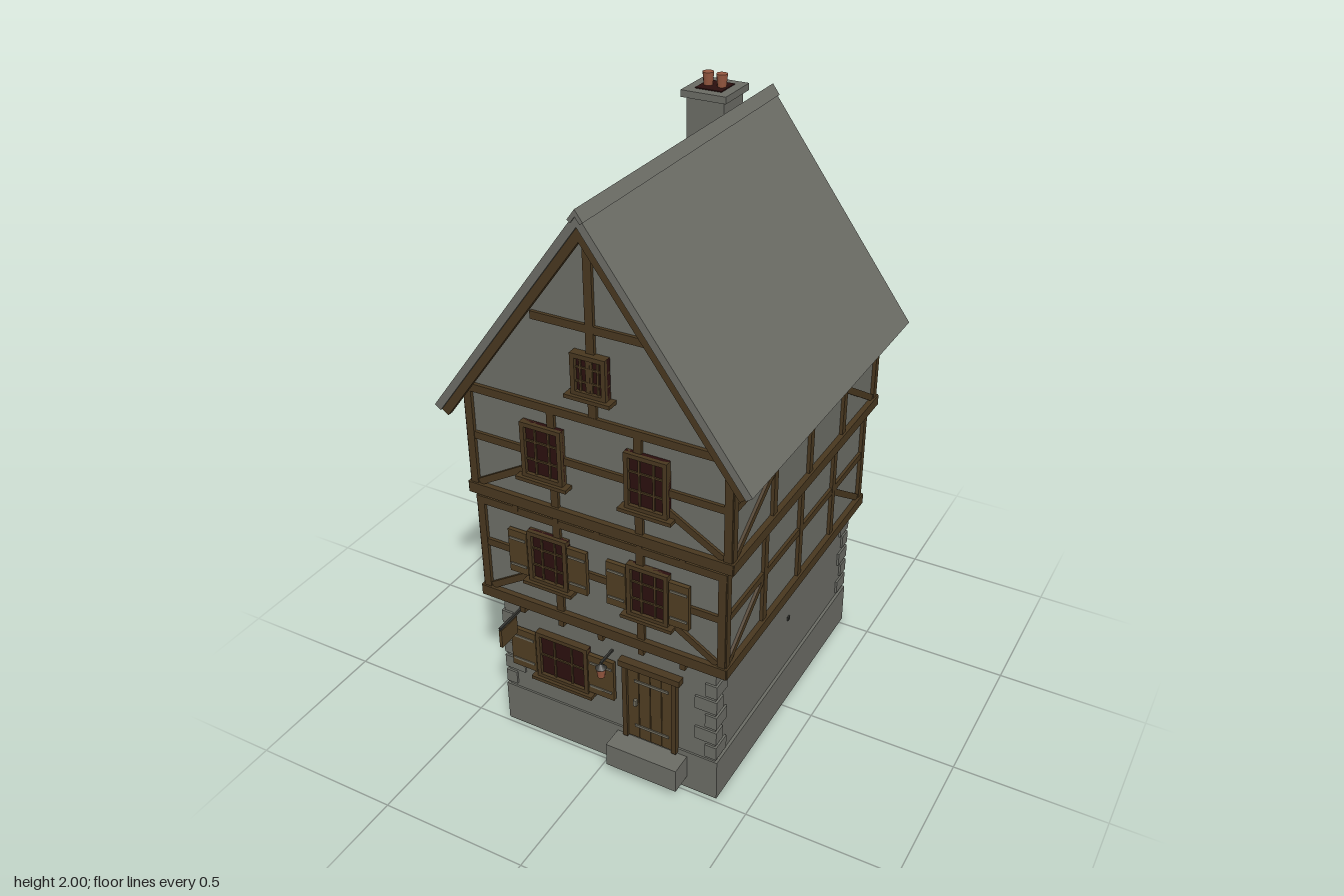
import * as THREE from 'three';

const mat = (name, color) => Object.assign(new THREE.MeshStandardMaterial({ color }), { name });
const M = {
  plaster: mat('plaster', 0x6c6d65),
  stone: mat('stone', 0x6a6b64),
  roof: mat('roof tile', 0x6b6c65),
  timber: mat('timber', 0x48371f),
  board: mat('shutter board', 0x4f3d22),
  glass: mat('dark glass', 0x2a0f0e),
  iron: mat('iron', 0x33332f),
  strap: mat('strap metal', 0x6e6a5c),
  clay: mat('clay', 0x95573f),
};

function add(parent, name, geo, m, x = 0, y = 0, z = 0) {
  const mesh = new THREE.Mesh(geo, m);
  mesh.name = name;
  mesh.position.set(x, y, z);
  parent.add(mesh);
  return mesh;
}
const box = (parent, name, m, w, h, d, x, y, z) =>
  add(parent, name, new THREE.BoxGeometry(w, h, d), m, x, y, z);

function group(parent, name, x = 0, y = 0, z = 0, ry = 0) {
  const g = new THREE.Group();
  g.name = name;
  g.position.set(x, y, z);
  g.rotation.y = ry;
  parent.add(g);
  return g;
}

// Straight timber between two points on a wall face
function beam(parent, name, x1, y1, x2, y2, width, z, depth = 0.022) {
  const b = box(parent, name, M.timber, Math.hypot(x2 - x1, y2 - y1), width, depth, (x1 + x2) / 2, (y1 + y2) / 2, z);
  b.rotation.z = Math.atan2(y2 - y1, x2 - x1);
}

// Framed window with glazing bars and a sill, facing local +z
function windowUnit(parent, name, x, y, z, w, h, cols, rows, shutter = 0) {
  const g = group(parent, name, x, y, z), f = 0.014;
  box(g, 'glass', M.glass, w, h, 0.016, 0, 0, 0.004);
  for (const s of [-1, 1]) {
    box(g, 'frameSide', M.timber, f, h, 0.04, s * (w - f) / 2, 0, 0.004);
    box(g, 'frameRail', M.timber, w, f, 0.04, 0, s * (h - f) / 2, 0.004);
  }
  for (let i = 1; i < cols; i++) box(g, 'glazingBar', M.timber, 0.006, h, 0.02, -w / 2 + (w * i) / cols, 0, 0.007);
  for (let i = 1; i < rows; i++) box(g, 'glazingBar', M.timber, w, 0.006, 0.02, 0, -h / 2 + (h * i) / rows, 0.007);
  box(g, 'sill', M.timber, w + 0.035, 0.012, 0.05, 0, -h / 2 - 0.004, 0.01);
  if (shutter) for (const s of [-1, 1]) {
    const sx = s * (w / 2 + shutter / 2 + 0.003);
    box(g, 'shutter', M.board, shutter, h * 0.84, 0.014, sx, 0, 0.016);
    for (const t of [-1, 1]) box(g, 'shutterStrap', M.strap, shutter * 0.85, 0.008, 0.004, sx, t * h * 0.26, 0.024);
  }
}

// One timber-framed wall face: posts, rail, head and sill beams, corner braces
function timberFace(parent, name, angle, half, dist, y0, y1, yRail, posts) {
  const g = group(parent, name, 0, 0, 0, angle), z = dist;
  box(g, 'sillBeam', M.timber, 2 * half + 0.03, 0.036, 0.036, 0, y0 + 0.018, z);
  box(g, 'headBeam', M.timber, 2 * half + 0.02, 0.026, 0.024, 0, y1 - 0.013, z);
  box(g, 'rail', M.timber, 2 * half, 0.024, 0.02, 0, yRail, z);
  for (const x of posts) box(g, 'post', M.timber, 0.025, y1 - y0, 0.022, x, (y0 + y1) / 2, z);
  const inner = posts[posts.length - 1];
  for (const s of [-1, 1]) {
    box(g, 'cornerPost', M.timber, 0.025, y1 - y0, 0.024, s * (half - 0.004), (y0 + y1) / 2, z);
    beam(g, 'brace', s * (half - 0.02), y0 + 0.04, s * (inner + 0.01), yRail - 0.015, 0.022, z, 0.018);
  }
  return g;
}

function storey(parent, name, hx, hz, zc, y0, y1, yRail) {
  const g = group(parent, name, 0, 0, zc);
  box(g, 'plasterWalls', M.plaster, 2 * hx, y1 - y0, 2 * hz, 0, (y0 + y1) / 2, 0);
  const ends = [-0.142, 0.142], sides = [-0.256, 0, 0.256];
  const front = timberFace(g, 'frontFrame', 0, hx, hz, y0, y1, yRail, ends);
  const back = timberFace(g, 'backFrame', Math.PI, hx, hz, y0, y1, yRail, ends);
  for (const s of [-1, 1]) timberFace(g, 'sideFrame', s * Math.PI / 2, hz, hx, y0, y1, yRail, sides);
  // Joist ends under the overhang
  for (let i = -2; i <= 2; i++) for (const f of [front, back])
    box(f, 'joistEnd', M.timber, 0.018, 0.024, 0.05, i * 0.142, y0 - 0.012, hz - 0.012);
  return { front, back };
}

// Inverted V profile that follows the roof slope
const SLOPE = 1.36, NX = 0.805, NY = 0.593;
function chevron(yTop, xEnd, t, depth) {
  const ye = yTop - SLOPE * xEnd, xi = xEnd - NX * t, yi = ye - NY * t;
  const s = new THREE.Shape([[0, yTop], [-xEnd, ye], [-xi, yi], [0, yTop - t / NY], [xi, yi], [xEnd, ye]]
    .map(([x, y]) => new THREE.Vector2(x, y)));
  return new THREE.ExtrudeGeometry(s, { depth, bevelEnabled: false });
}

function rectShape(S, hx, hz) {
  return new S([[-hx, -hz], [hx, -hz], [hx, hz], [-hx, hz]].map(([x, y]) => new THREE.Vector2(x, y)));
}

export function createModel() {
  const house = new THREE.Group();
  house.name = 'timberFramedHouse';

  // Stone ground floor on a plinth that is open underneath
  const ground = group(house, 'groundFloor', 0, 0, -0.02);
  const ring = rectShape(THREE.Shape, 0.39, 0.506);
  ring.holes.push(rectShape(THREE.Path, 0.34, 0.456));
  const plinth = new THREE.ExtrudeGeometry(ring, { depth: 0.15, bevelEnabled: false });
  plinth.rotateX(-Math.PI / 2);
  add(ground, 'plinth', plinth, M.stone);
  box(ground, 'stoneWalls', M.stone, 0.76, 0.44, 1.0, 0, 0.32, 0);
  for (const sx of [-1, 1]) for (const sz of [-1, 1]) for (let i = 0; i < 5; i++) {
    const long = i % 2 ? 0.075 : 0.04, deep = i % 2 ? 0.045 : 0.07;
    box(ground, 'quoin', M.stone, long, 0.048, deep, sx * (0.387 - long / 2), 0.187 + i * 0.0615, sz * (0.507 - deep / 2));
  }
  windowUnit(ground, 'groundFrontWindow', -0.155, 0.342, 0.5, 0.19, 0.18, 3, 2, 0.092);
  windowUnit(group(ground, 'backWall', 0, 0, 0, Math.PI), 'groundBackWindow', -0.172, 0.36, 0.5, 0.09, 0.135, 2, 2);
  windowUnit(group(ground, 'rightWall', 0, 0, 0, -Math.PI / 2), 'groundSideWindow', -0.24, 0.36, 0.38, 0.09, 0.135, 2, 2);
  box(ground, 'wallTie', M.iron, 0.008, 0.014, 0.014, 0.381, 0.345, -0.02);

  // Door with planks, straps and step
  const door = group(house, 'door', 0.158, 0, 0.48);
  for (let i = 0; i < 4; i++) box(door, 'plank', M.board, 0.0375, 0.28, 0.02, -0.06 + i * 0.04, 0.277, 0);
  box(door, 'plankGaps', M.timber, 0.16, 0.28, 0.012, 0, 0.277, 0);
  for (const s of [-1, 1]) box(door, 'jamb', M.timber, 0.016, 0.29, 0.04, s * 0.087, 0.28, 0);
  box(door, 'lintel', M.timber, 0.215, 0.022, 0.05, 0.003, 0.433, 0.002);
  for (const y of [0.187, 0.37]) box(door, 'strap', M.strap, 0.12, 0.009, 0.004, 0.005, y, 0.012);
  box(door, 'handle', M.strap, 0.01, 0.022, 0.014, -0.05, 0.285, 0.014);
  box(door, 'step', M.stone, 0.25, 0.085, 0.09, 0.002, 0.0875, 0.035);

  // Hanging sign and lantern
  const sign = group(house, 'hangingSign', -0.31, 0, 0);
  box(sign, 'bracket', M.iron, 0.008, 0.008, 0.13, 0, 0.492, 0.54);
  box(sign, 'signBoard', M.board, 0.01, 0.065, 0.085, 0, 0.453, 0.562);
  const lamp = group(house, 'lantern', 0.02, 0, 0.548);
  box(lamp, 'bracket', M.iron, 0.007, 0.007, 0.075, 0, 0.45, -0.035);
  add(lamp, 'lanternBody', new THREE.CylinderGeometry(0.016, 0.012, 0.034, 8), M.clay, 0, 0.414, 0);
  add(lamp, 'lanternCap', new THREE.ConeGeometry(0.019, 0.018, 8), M.iron, 0, 0.44, 0);

  // Two overhanging timber-framed storeys
  const first = storey(house, 'firstFloor', 0.415, 0.507, -0.005, 0.53, 0.905, 0.738);
  const second = storey(house, 'secondFloor', 0.43, 0.522, -0.02, 0.915, 1.295, 1.12);
  for (const s of [-1, 1]) {
    windowUnit(first.front, 'firstFloorWindow', s * 0.172, 0.748, 0.507, 0.138, 0.185, 3, 3, 0.066);
    windowUnit(second.front, 'secondFloorWindow', s * 0.172, 1.13, 0.522, 0.138, 0.185, 3, 3);
  }
  windowUnit(first.back, 'firstFloorBackWindow', 0, 0.748, 0.507, 0.138, 0.185, 3, 3);
  windowUnit(second.back, 'secondFloorBackWindow', 0, 1.13, 0.522, 0.138, 0.185, 3, 3);

  // Gable walls
  const tri = new THREE.Shape([[-0.43, 1.285], [0.43, 1.285], [0, 1.87]].map(([x, y]) => new THREE.Vector2(x, y)));
  add(house, 'gableWalls', new THREE.ExtrudeGeometry(tri, { depth: 1.044, bevelEnabled: false }), M.plaster, 0, 0, -0.542);
  const gable = group(house, 'frontGable', 0, 0, 0.502);
  box(gable, 'gablePost', M.timber, 0.026, 0.55, 0.022, 0, 1.56, 0);
  box(gable, 'collarBeam', M.timber, 0.38, 0.024, 0.02, 0, 1.568, 0);
  windowUnit(gable, 'gableWindow', 0, 1.43, 0.004, 0.112, 0.13, 4, 3);
  box(gable, 'gableMullion', M.timber, 0.022, 0.13, 0.028, 0, 1.43, 0.006);

  // Roof, ridge, bargeboards and rafter tails
  const roof = group(house, 'roof');
  add(roof, 'roofSlopes', chevron(1.918, 0.515, 0.024, 1.157), M.roof, 0, 0, -0.602);
  add(roof, 'ridge', chevron(1.928, 0.024, 0.012, 1.165), M.roof, 0, 0, -0.605);
  for (const z of [0.53, -0.595]) add(roof, 'bargeboard', chevron(1.8775, 0.495, 0.026, 0.018), M.timber, 0, 0, z);
  for (const s of [-1, 1]) for (let i = -3; i <= 3; i++) {
    const tail = box(roof, 'rafterTail', M.timber, 0.1, 0.026, 0.016, s * 0.437, 1.228, -0.015 + i * 0.136);
    tail.rotation.z = -s * Math.atan(SLOPE);
  }

  // Chimney with two clay pots
  const chimney = group(house, 'chimney', -0.104, 0, -0.41);
  box(chimney, 'stack', M.stone, 0.128, 0.36, 0.13, 0, 1.76, 0);
  box(chimney, 'cap', M.stone, 0.154, 0.022, 0.158, 0, 1.946, 0);
  box(chimney, 'flue', M.glass, 0.09, 0.006, 0.09, 0, 1.957, 0);
  for (const s of [-1, 1])
    add(chimney, 'pot', new THREE.CylinderGeometry(0.018, 0.014, 0.045, 10), M.clay, s * 0.0235, 1.9775, 0);

  return house;
}
